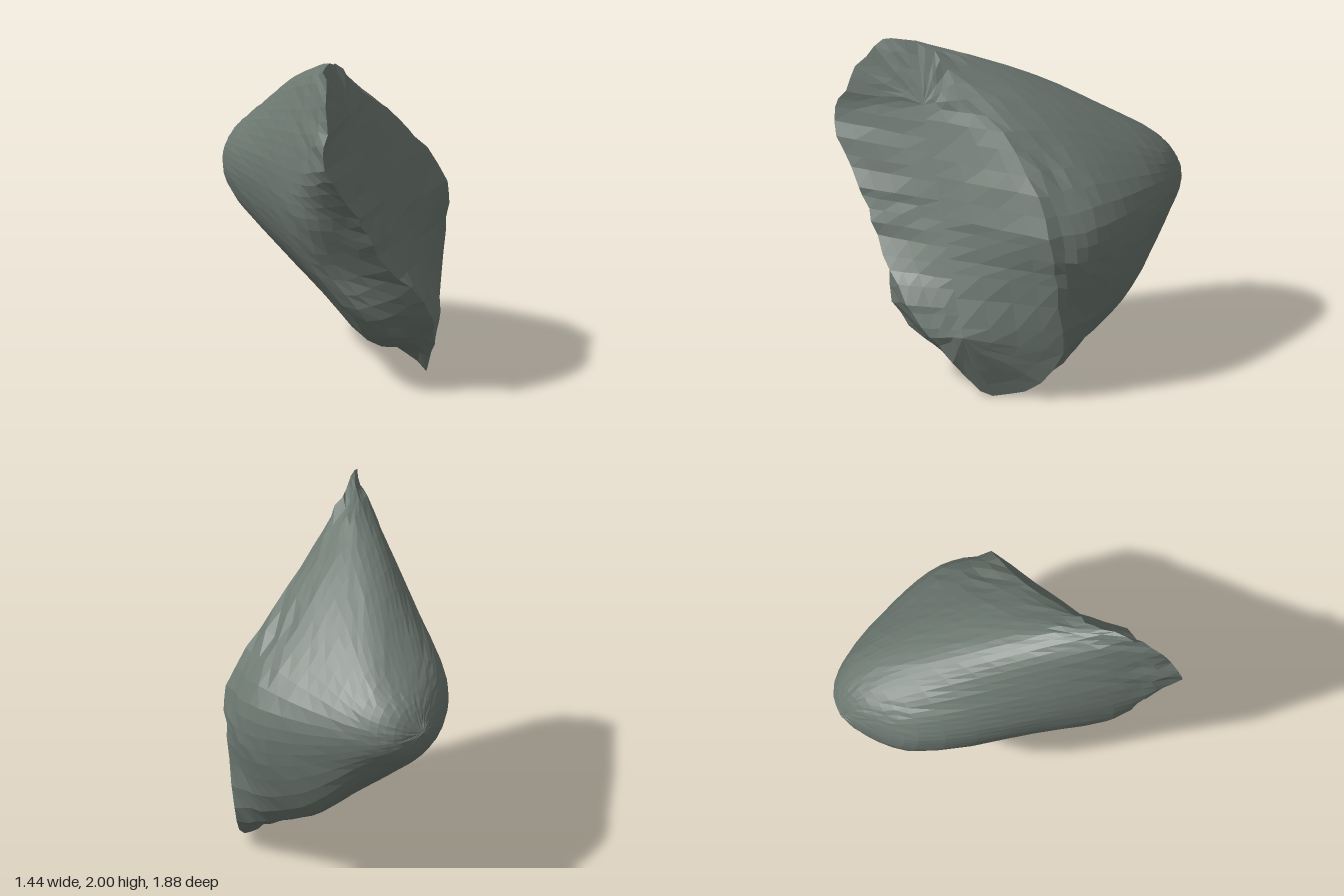
import * as THREE from 'three';

// Rim of the broken face, from the top down the front edge and up the back edge
const RIM = [
  [0.19, 1.98, 0.67], [0.24, 1.74, 0.85], [0.26, 1.47, 0.94], [0.4, 1.15, 0.75], [0.49, 0.88, 0.62],
  [0.69, 0.57, 0.38], [0.71, 0.32, 0.17], [0.58, -0.01, -0.12], [0.55, 0.19, -0.48], [0.61, 0.75, -0.5],
  [0.61, 1.05, -0.47], [0.41, 1.47, -0.2], [0.25, 1.8, 0.22], [0.16, 1.97, 0.41],
].map(p => new THREE.Vector3(...p));

// Shoulder loop just behind the rim, same order
const SHOULDER = [
  [0.03, 1.88, 0.43], [0.04, 1.66, 0.62], [0.05, 1.38, 0.72], [0.08, 1.1, 0.7], [0.15, 0.79, 0.59],
  [0.41, 0.46, 0.53], [0.43, 0.24, 0.27], [0.33, 0.23, -0.18], [0.27, 0.29, -0.58], [0.42, 0.7, -0.69],
  [0.41, 1.06, -0.69], [0.2, 1.46, -0.42], [0.09, 1.74, -0.07], [0.01, 1.86, 0.15],
].map(p => new THREE.Vector3(...p));

const TIP = new THREE.Vector3(-0.68, 1.08, -0.8);
const AROUND = RIM.length * 4;

// Line down the middle of the broken face
const SPINE_TOP = new THREE.Vector3(0.28, 1.65, 0.4);
const SPINE_FOOT = new THREE.Vector3(0.71, 0.4, 0.03);

function makeRandom(seed) {
  return () => {
    seed = (seed * 16807) % 2147483647;
    return seed / 2147483647 - 0.5;
  };
}

// Control loops from the rim to the rounded nose
function makeLoops() {
  const angle = i => ((i + 0.55) / RIM.length) * Math.PI * 2;

  // Nose: a tilted ellipse, then a smaller one pushed towards the tip
  const up = new THREE.Vector3(0.02, 0.3, 0.06);
  const forward = new THREE.Vector3(-0.175, 0.02, 0.31);
  const nose = RIM.map((_, i) => new THREE.Vector3(-0.505, 1.09, -0.62)
    .addScaledVector(up, Math.cos(angle(i)))
    .addScaledVector(forward, Math.sin(angle(i))));
  const bulge = new THREE.Vector3(-0.03, 0, -0.045);
  const noseEnd = nose.map(p => p.clone().lerp(TIP, 0.5).add(bulge));

  // Flank: between shoulder and nose, swollen a little and sagging underneath
  const flank = SHOULDER.map((p, i) => p.clone().lerp(nose[i], 0.44));
  const middle = flank.reduce((sum, p) => sum.add(p), new THREE.Vector3()).divideScalar(flank.length);
  flank.forEach((p, i) => {
    p.sub(middle).multiplyScalar(1.06).add(middle);
    p.y -= 0.05 * Math.max(0, -Math.cos(angle(i)));
  });
  return [RIM, SHOULDER, flank, nose, noseEnd];
}

// Surface through closed rings; the flag sets the facing side
function skin(rings, inward) {
  const n = rings[0].length;
  const index = [];
  for (let j = 0; j < rings.length - 1; j++) {
    for (let i = 0; i < n; i++) {
      const k = (i + 1) % n;
      const a = j * n + i, b = a + n, c = j * n + k, d = c + n;
      if (inward) index.push(a, c, b, c, d, b);
      else index.push(a, b, c, c, b, d);
    }
  }
  const geometry = new THREE.BufferGeometry().setFromPoints(rings.flat());
  geometry.setIndex(index);
  geometry.computeVertexNormals();
  return geometry;
}

export function createModel() {
  const random = makeRandom(4711);
  const roughen = (p, amount) =>
    p.add(new THREE.Vector3(random(), random(), random()).multiplyScalar(amount));
  const material = new THREE.MeshStandardMaterial({ color: 0x6d7871, flatShading: true });
  const curves = makeLoops().map(l => new THREE.CatmullRomCurve3(l, true, 'centripetal'));

  // Weathered body: smooth at the nose, chipped towards the rim
  const steps = 20;
  const bodyRings = Array.from({ length: steps + 1 }, () => []);
  for (let i = 0; i < AROUND; i++) {
    const stations = curves.map(c => c.getPoint(i / AROUND));
    const spoke = new THREE.CatmullRomCurve3([...stations, TIP], false, 'centripetal');
    for (let j = 0; j <= steps; j++) {
      const t = j / steps;
      const p = spoke.getPoint(t);
      if (j < steps) roughen(p, 0.004 + 0.024 * Math.max(0, 1 - t * 3.5));
      p.y = THREE.MathUtils.clamp(p.y, 0, 2);
      bodyRings[j].push(p);
    }
  }
  const body = new THREE.Mesh(skin(bodyRings, false), material);
  body.name = 'weatheredBody';

  // Broken face: runs from the shared rim to the spine at the same height
  const faceRings = [0, 0.2, 0.45, 0.72, 1].map(t =>
    bodyRings[0].map(p => {
      const s = THREE.MathUtils.clamp((p.y - SPINE_FOOT.y) / (SPINE_TOP.y - SPINE_FOOT.y), 0, 1);
      const q = p.clone().lerp(SPINE_FOOT.clone().lerp(SPINE_TOP, s), t);
      return t > 0 && t < 1 ? roughen(q, 0.008) : q;
    }));
  const face = new THREE.Mesh(skin(faceRings, true), material);
  face.name = 'brokenFace';

  const group = new THREE.Group();
  group.name = 'rock';
  group.add(body, face);
  return group;
}
